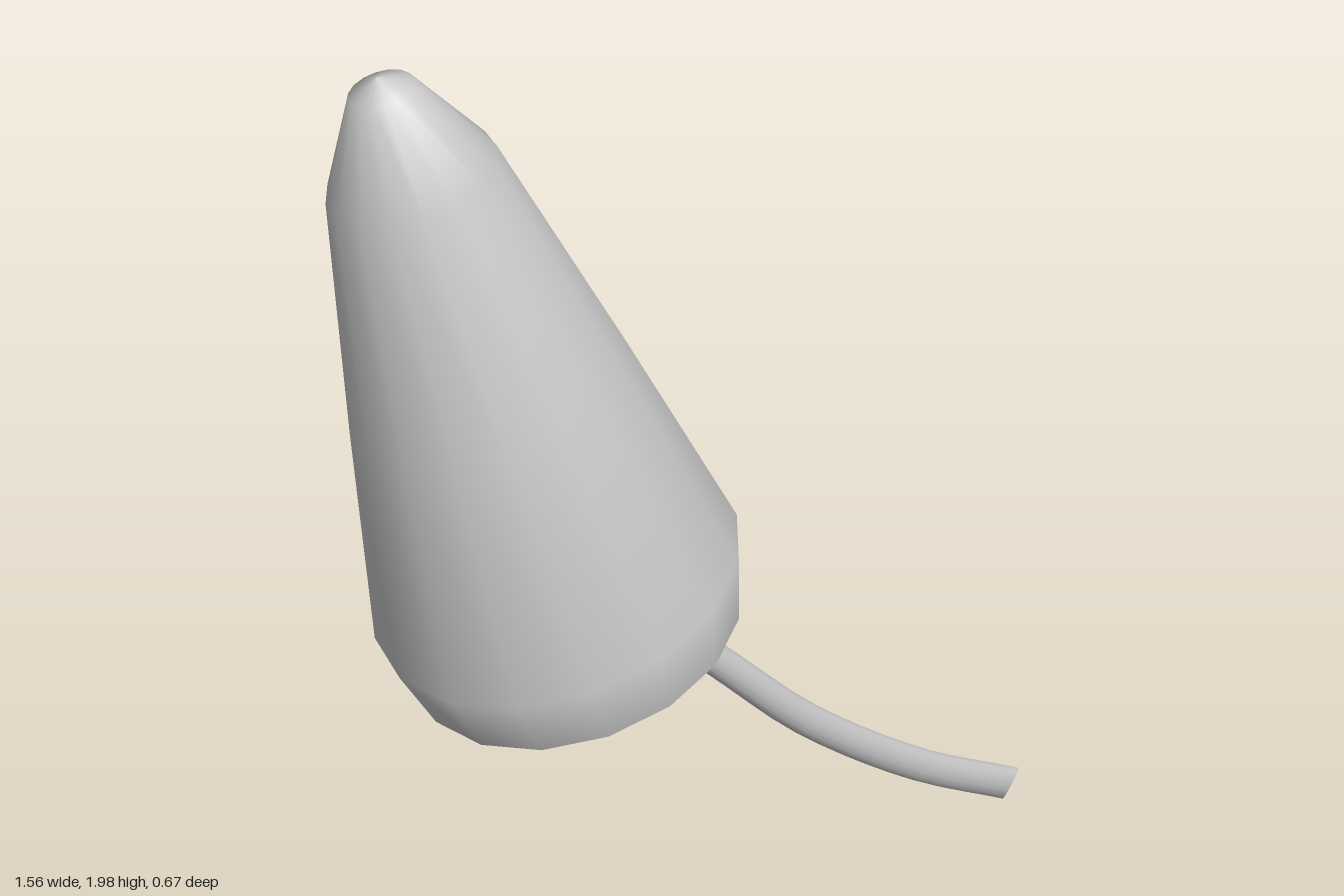
import * as THREE from 'three';

const V = (x, y, z) => new THREE.Vector3(x, y, z);
const material = new THREE.MeshStandardMaterial({ color: 0xcccccc, side: THREE.DoubleSide });

// Hollow, pointed cap: a 16-sided lathe leaning over
function makeCap() {
  const profile = [
    [0.303, 0], [0.335, 0.13], [0.245, 0.56], [0.146, 1.003], [0.055, 1.172], [0, 1.195],
  ].map(([r, y]) => new THREE.Vector2(r, y));
  const cap = new THREE.Mesh(new THREE.LatheGeometry(profile, 16), material);
  cap.name = 'cap';
  cap.position.set(-0.35, 0.857, 0);
  cap.rotation.z = 0.292;
  return cap;
}

// Curved stem: an oval swept along a curve, sheared off at the lower end
function makeStem() {
  const curve = new THREE.CatmullRomCurve3([
    V(-0.62, 1.75, 0.01), V(-0.53, 1.45, 0.01), V(-0.4, 1.12, 0.008), V(-0.235, 0.89, 0.004),
    V(0, 0.64, -0.004), V(0.17, 0.47, -0.021), V(0.46, 0.24, -0.062), V(0.752, 0.052, -0.115),
  ]);
  const rings = 28, sides = 14;
  const positions = [], indices = [];
  const cutNormal = V(0.6, -0.4, 0.69).normalize();
  for (let i = 0; i <= rings; i++) {
    const t = i / rings;
    const centre = curve.getPointAt(t), tangent = curve.getTangentAt(t);
    const across = V(0, 0, 1).addScaledVector(tangent, -tangent.z).normalize();
    const up = across.clone().cross(tangent).normalize();
    const halfHeight = 0.025 + 0.011 * t;
    for (let j = 0; j < sides; j++) {
      const a = (j / sides) * Math.PI * 2;
      const offset = up.clone().multiplyScalar(Math.cos(a) * halfHeight)
        .addScaledVector(across, Math.sin(a) * 0.024);
      // slide the last ring along the stem onto the slanted cut
      if (i === rings) offset.addScaledVector(tangent, -offset.dot(cutNormal) / tangent.dot(cutNormal));
      positions.push(...centre.clone().add(offset).toArray());
      if (i < rings) {
        const p = i * sides + j, q = i * sides + (j + 1) % sides;
        indices.push(p, q, p + sides, q, q + sides, p + sides);
      }
    }
  }
  const geometry = new THREE.BufferGeometry();
  geometry.setAttribute('position', new THREE.Float32BufferAttribute(positions, 3));
  geometry.setIndex(indices);
  geometry.computeVertexNormals();
  const stem = new THREE.Mesh(geometry, material);
  stem.name = 'stem';

  // Flat face closing the cut end
  const rim = positions.slice(-sides * 3), fan = [];
  for (let j = 1; j < sides - 1; j++) fan.push(0, j, j + 1);
  const endGeometry = new THREE.BufferGeometry();
  endGeometry.setAttribute('position', new THREE.Float32BufferAttribute(rim, 3));
  endGeometry.setIndex(fan);
  endGeometry.computeVertexNormals();
  const end = new THREE.Mesh(endGeometry, material);
  end.name = 'stemCutEnd';
  return [stem, end];
}

export function createModel() {
  const mushroom = new THREE.Group();
  mushroom.name = 'mushroom';
  mushroom.add(makeCap(), ...makeStem());
  return mushroom;
}
